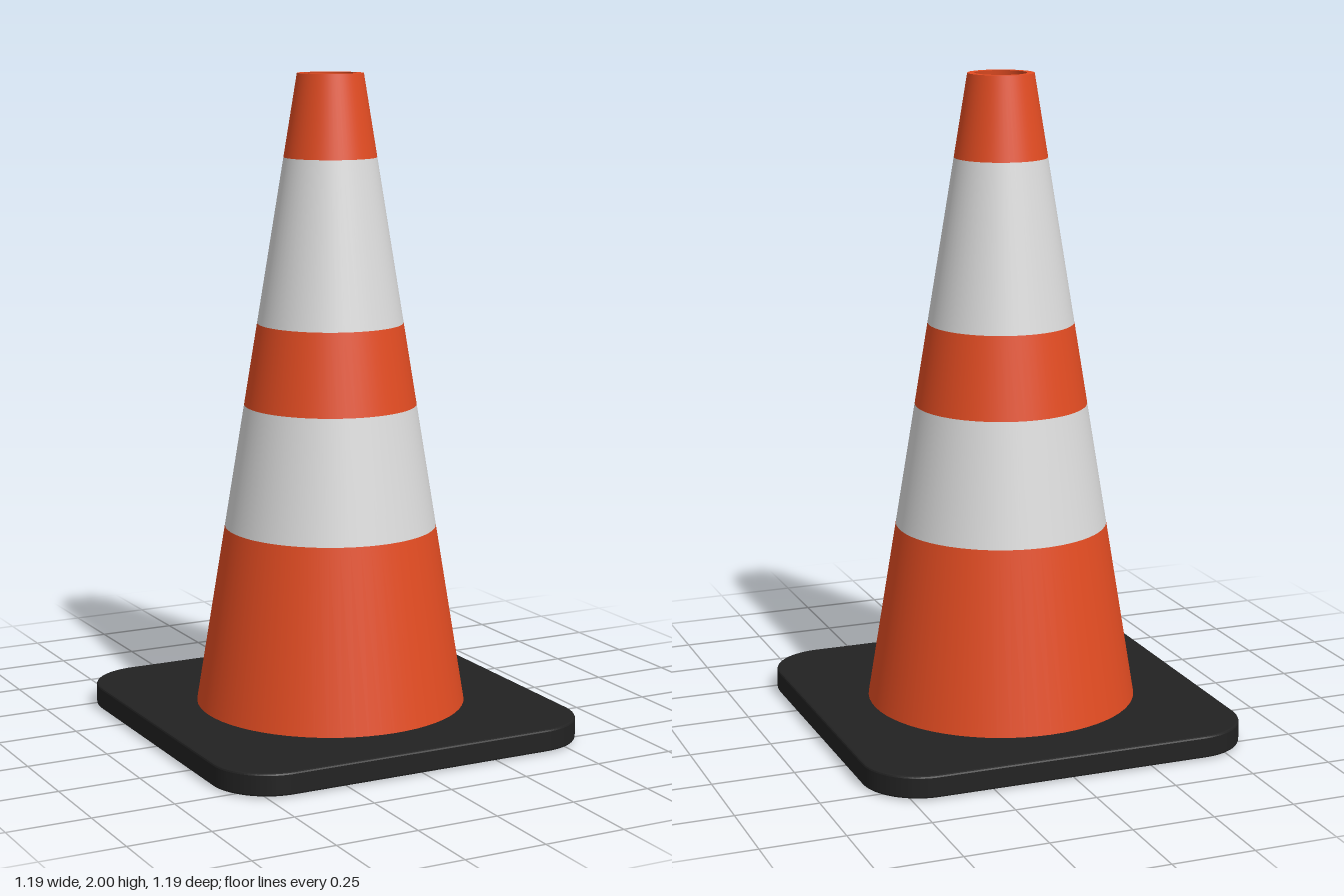
import * as THREE from 'three';

const SEGMENTS = 64;
const TOP = 2;
const radiusAt = (y) => 0.426 - 0.163 * y; // outer cone wall
const WALL = 0.022;

function material(name, color) {
  const m = new THREE.MeshStandardMaterial({ color });
  m.name = name;
  return m;
}

export function createModel() {
  const orange = material('orange', 0xe34c22);
  const white = material('white', 0xdcdcdc);
  const black = material('black', 0x222222);

  const group = new THREE.Group();
  group.name = 'trafficCone';

  const add = (name, geometry, mat) => {
    const mesh = new THREE.Mesh(geometry, mat);
    mesh.name = name;
    group.add(mesh);
    return mesh;
  };
  // Straight revolved strip between two [radius, height] points
  const strip = (name, a, b, mat) =>
    add(name, new THREE.LatheGeometry([new THREE.Vector2(...a), new THREE.Vector2(...b)], SEGMENTS), mat);

  // Outer wall in coloured bands
  const bands = [
    ['lowerBand', 0, 0.625, orange],
    ['lowerStripe', 0.625, 1.0, white],
    ['middleBand', 1.0, 1.25, orange],
    ['upperStripe', 1.25, 1.75, white],
    ['topBand', 1.75, TOP, orange],
  ];
  for (const [name, y0, y1, mat] of bands) {
    strip(name, [radiusAt(y0), y0], [radiusAt(y1), y1], mat);
  }

  // Hollow inside: top rim, inner wall and bottom rim
  const rOut = radiusAt(TOP), rBase = radiusAt(0);
  strip('topRim', [rOut, TOP], [rOut - WALL, TOP], orange);
  strip('innerWall', [rOut - WALL, TOP], [rBase - WALL, 0], orange);
  strip('bottomRim', [rBase - WALL, 0], [rBase, 0], orange);

  // Square base plate with rounded corners and a fine bevel
  const bevel = 0.006, h = 0.597 - bevel, r = 0.17;
  const outline = new THREE.Shape();
  outline.absarc(h - r, h - r, r, 0, Math.PI / 2);
  outline.absarc(r - h, h - r, r, Math.PI / 2, Math.PI);
  outline.absarc(r - h, r - h, r, Math.PI, Math.PI * 1.5);
  outline.absarc(h - r, r - h, r, Math.PI * 1.5, Math.PI * 2);
  outline.closePath();
  const bottom = 0.004, top = 0.072;
  const plate = new THREE.ExtrudeGeometry(outline, {
    depth: top - bottom - 2 * bevel,
    bevelEnabled: true, bevelSize: bevel, bevelThickness: bevel, bevelSegments: 2,
    curveSegments: 12,
  });
  plate.rotateX(-Math.PI / 2);
  plate.translate(0, bottom + bevel, 0);
  add('basePlate', plate, black);

  return group;
}
